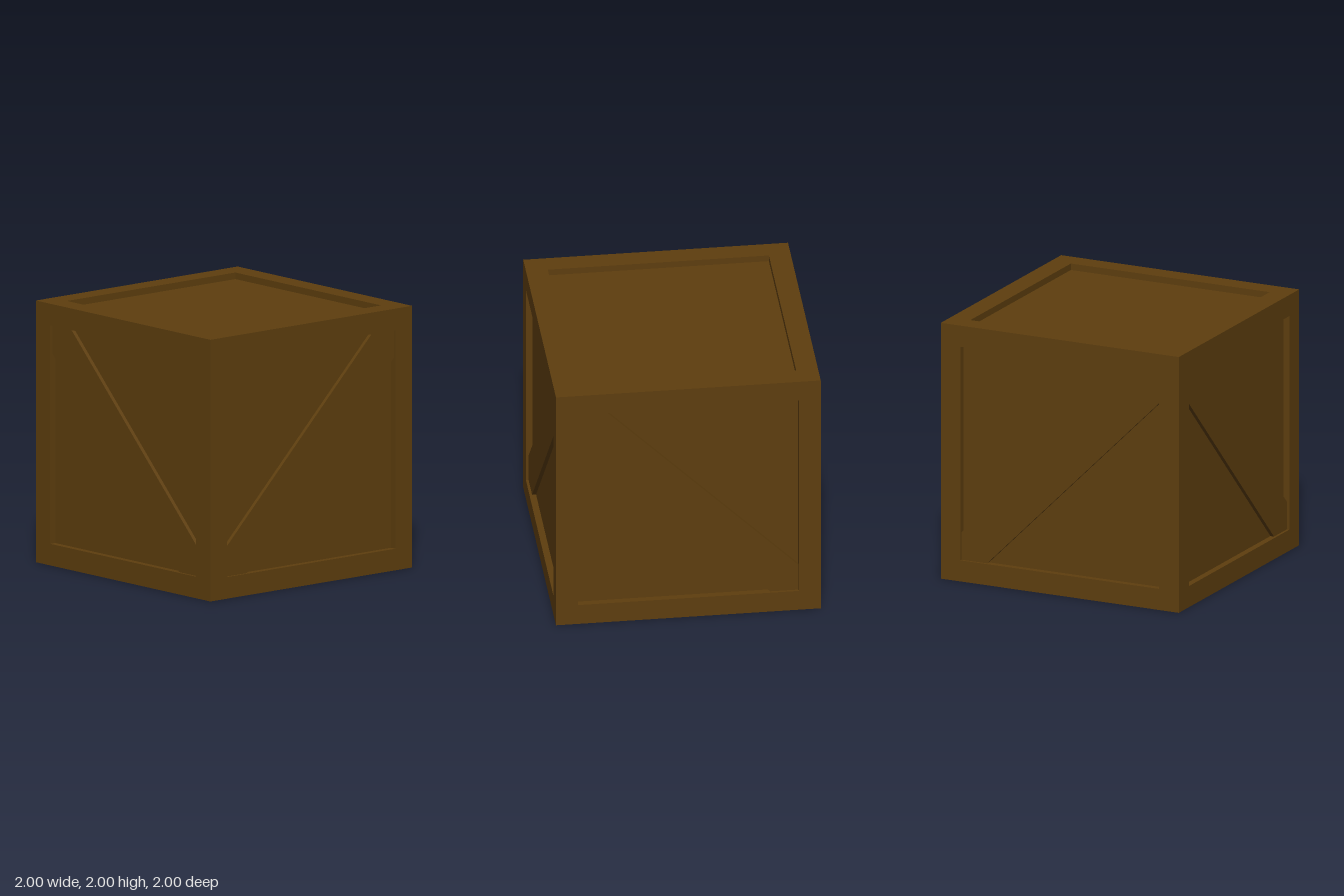
import * as THREE from 'three';

const BEAM = 0.165;          // frame beam thickness
const IN = 1 - BEAM;         // half width of each recessed panel
const PANEL = 0.95;          // distance of the panels from the centre
const BRACE = 0.98;          // distance of the brace faces from the centre
const CUT = 0.62;            // where the brace edges meet the frame

export function createModel() {
  const group = new THREE.Group();
  group.name = 'crate';
  const wood = new THREE.MeshStandardMaterial({ color: 0x5e3e0e, flatShading: true });

  const add = (name, geometry, x, y, z) => {
    const mesh = new THREE.Mesh(geometry, wood);
    mesh.name = name;
    mesh.position.set(x, y, z);
    group.add(mesh);
    return mesh;
  };

  // Inner box whose six sides are the recessed panels
  add('panels', new THREE.BoxGeometry(2 * PANEL, 2 * PANEL, 2 * PANEL), 0, 1, 0);

  // Frame: four corner posts with rails fitted between them
  const c = 1 - BEAM / 2;
  const post = new THREE.BoxGeometry(BEAM, 2, BEAM);
  const railX = new THREE.BoxGeometry(2 * IN, BEAM, BEAM);
  const railZ = new THREE.BoxGeometry(BEAM, BEAM, 2 * IN);
  for (const a of [-1, 1]) {
    for (const b of [-1, 1]) {
      add('cornerPost', post, a * c, 1, b * c);
      add('crossRail', railX, 0, 1 + a * c, b * c);
      add('sideRail', railZ, a * c, 1 + b * c, 0);
    }
  }

  // Diagonal brace trimmed to the frame; m = 1 falls to the right, -1 rises
  const braceGeometry = (m) => {
    const outline = [[-IN, IN], [-CUT, IN], [IN, -CUT], [IN, -IN], [CUT, -IN], [-IN, CUT]];
    const shape = new THREE.Shape(outline.map(([x, y]) => new THREE.Vector2(m * x, y)));
    const geometry = new THREE.ExtrudeGeometry(shape, { depth: 0.06, bevelEnabled: false });
    return geometry.translate(0, 0, BRACE - 0.06);
  };

  // One brace on each upright side, alternating in direction
  ['front', 'left', 'back', 'right'].forEach((side, i) => {
    const brace = add(side + 'Brace', braceGeometry(i % 2 ? -1 : 1), 0, 1, 0);
    brace.rotation.y = i * Math.PI / 2;
  });

  return group;
}
